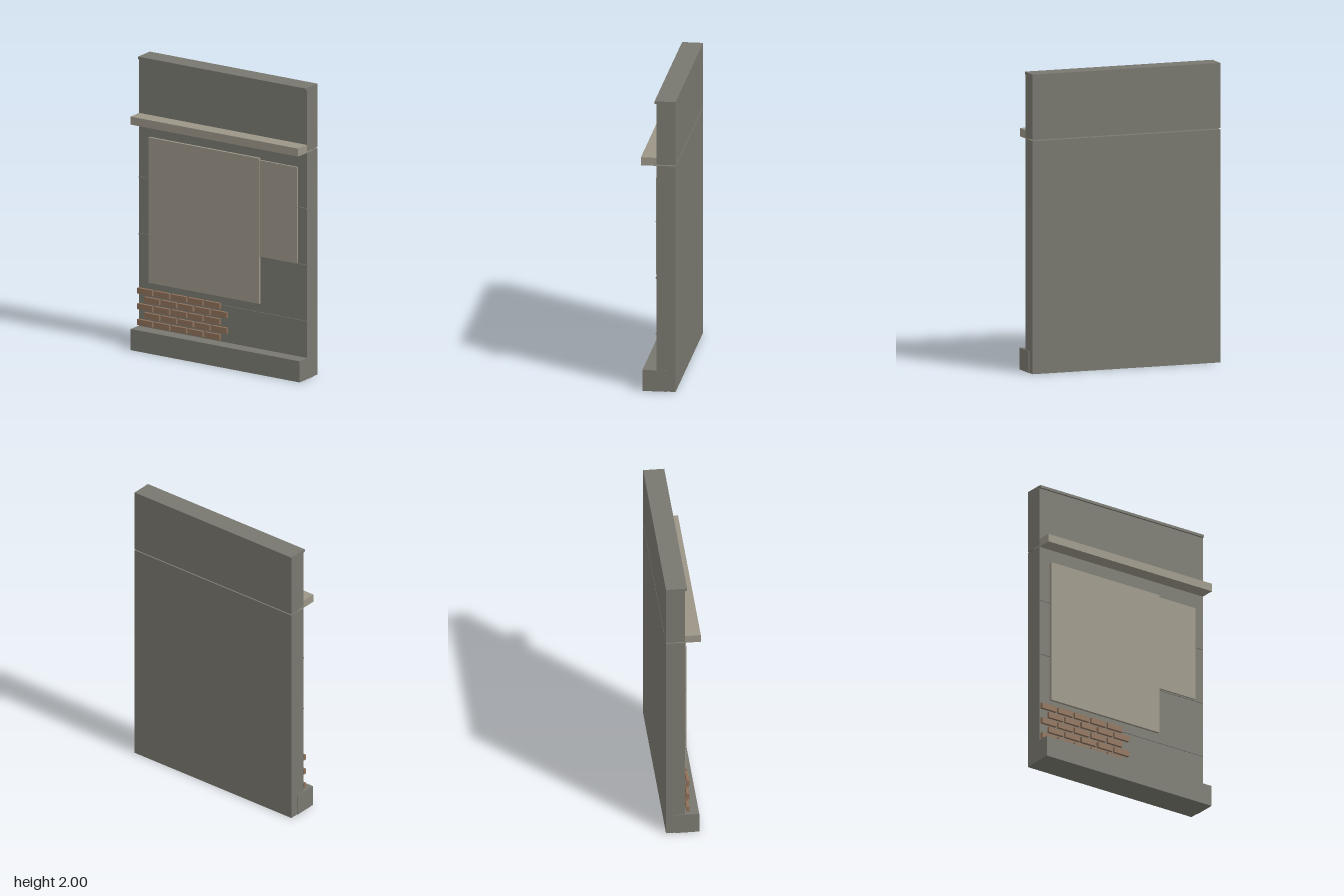
import * as THREE from 'three';

const mat = (name, color) => {
  const m = new THREE.MeshStandardMaterial({ color });
  m.name = name;
  return m;
};

export function createModel() {
  const group = new THREE.Group();
  const stone = mat('grey stone', 0x79786f);
  const plaster = mat('pale plaster', 0x9b9587);
  const brick = mat('brown brick', 0x8e7059);

  // Box given by its lower and upper limits on each axis
  function block(name, material, [x0, x1], [y0, y1], [z0, z1], parent = group) {
    const mesh = new THREE.Mesh(new THREE.BoxGeometry(x1 - x0, y1 - y0, z1 - z0), material);
    mesh.position.set((x0 + x1) / 2, (y0 + y1) / 2, (z0 + z1) / 2);
    mesh.name = name;
    parent.add(mesh);
  }

  const span = [-0.665, 0.665];
  const front = 0.012;

  // Wall in two storeys with a narrow joint between them
  block('lowerWall', stone, span, [0, 1.556], [-0.115, front]);
  block('upperWall', stone, span, [1.564, 2], [-0.115, front]);
  block('topTrim', stone, span, [1.982, 2], [front, 0.025]);
  block('plinth', stone, [-0.67, 0.67], [0, 0.145], [-0.056, 0.105]);

  // Ledge, tucked into the joint behind
  block('ledge', plaster, span, [1.555, 1.61], [front, 0.116]);
  block('ledgeTongue', plaster, [-0.664, 0.664], [1.556, 1.564], [-0.056, front]);

  // Thin course lines across the wall
  for (const y of [0.395, 0.78, 1.17]) {
    block('courseLine', stone, span, [y - 0.004, y + 0.004], [front, 0.017]);
  }

  // Plaster patches
  block('largePlasterPatch', plaster, [-0.58, 0.298], [0.46, 1.46], [front, 0.03]);
  block('smallPlasterPatch', plaster, [0.298, 0.594], [0.785, 1.447], [front, 0.026]);

  // Exposed bricks in staggered rows
  const bricks = new THREE.Group();
  bricks.name = 'exposedBricks';
  group.add(bricks);
  for (let row = 0; row < 5; row++) {
    for (let i = 0; i < 5; i++) {
      const x = -0.661 + (row % 2) * 0.055 + i * 0.1335;
      const y = 0.16 + row * 0.0538;
      block('brick', brick, [x, x + 0.118], [y, y + 0.039], [0.022, 0.041], bricks);
    }
  }
  return group;
}
